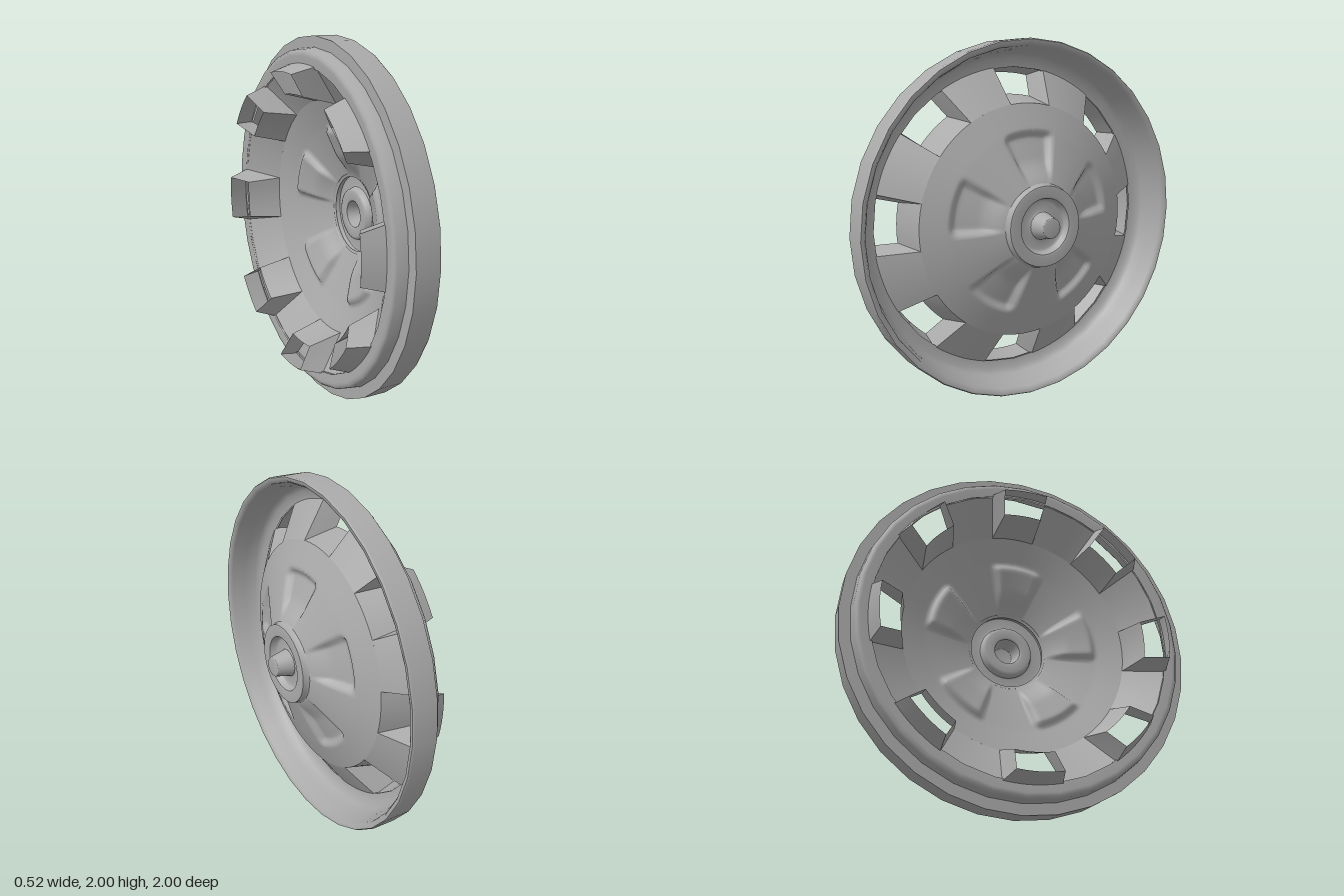
import * as THREE from 'three';

const metal = new THREE.MeshStandardMaterial({ color: 0xaaaaaa, side: THREE.DoubleSide });
metal.name = 'grey metal';

const rad = THREE.MathUtils.degToRad;
const lerp = THREE.MathUtils.lerp;
const smooth = THREE.MathUtils.smoothstep;

// Open sheet from a rule (u, v) -> [radius, angle in degrees from the top, x]
function sheet(rule, nu, nv) {
  const pos = [], index = [];
  for (let j = 0; j <= nv; j++) {
    for (let i = 0; i <= nu; i++) {
      const [r, a, x] = rule(i / nu, j / nv);
      pos.push(x, r * Math.cos(rad(a)), r * Math.sin(rad(a)));
      if (i < nu && j < nv) {
        const p = j * (nu + 1) + i, q = p + nu + 1;
        index.push(p, p + 1, q, p + 1, q + 1, q);
      }
    }
  }
  const g = new THREE.BufferGeometry();
  g.setAttribute('position', new THREE.Float32BufferAttribute(pos, 3));
  g.setIndex(index);
  g.computeVertexNormals();
  return g;
}

// Ring turned about the x axis from [radius, x] pairs
function turned(points, sides = 32) {
  const g = new THREE.LatheGeometry(points.map(p => new THREE.Vector2(...p)), sides);
  return g.rotateZ(-Math.PI / 2);
}

function add(parent, name, geometry) {
  const mesh = new THREE.Mesh(geometry, metal);
  mesh.name = name;
  parent.add(mesh);
  return mesh;
}

// Conical dome with five pressed sector panels
function domeRule(u, v) {
  const r = lerp(0.215, 0.655, v), a = u * 360;
  let x = r < 0.51 ? lerp(0.168, 0.06, (r - 0.215) / 0.295) : lerp(0.06, 0, (r - 0.51) / 0.145);
  const off = Math.abs(((a - 3 + 36 + 360) % 72) - 36);
  const across = 1 - smooth(off, 14, 19);
  const along = smooth(r, 0.22, 0.36) * (1 - smooth(r, 0.47, 0.515));
  return [r, a, x - 0.035 * across * along];
}

export function createModel() {
  const model = new THREE.Group();
  model.name = 'wheelCover';
  const cover = new THREE.Group();
  cover.name = 'cover';
  cover.position.y = 1;
  model.add(cover);

  add(cover, 'dome', sheet(domeRule, 180, 30));

  // Outer rim: band, step, rounded shoulder and inner wall
  const rim = new THREE.Group();
  rim.name = 'rim';
  cover.add(rim);
  add(rim, 'rimBand', turned([[1, -0.08], [1, 0.05], [0.994, 0.06]]));
  add(rim, 'rimStep', turned([[0.94, -0.08], [1, -0.08]]));
  add(rim, 'rimShoulder', turned([[0.85, -0.145], [0.9, -0.15], [0.92, -0.148], [0.932, -0.135], [0.94, -0.08]]));
  add(rim, 'rimInnerWall', turned([[0.994, 0.06], [0.975, 0.058], [0.962, 0.04], [0.945, -0.04],
    [0.925, -0.1], [0.9, -0.128], [0.85, -0.135]]));

  // Eight vents with flared walls, and the sloping panels between them
  const H = 11, T = 9;
  const mouthIn = [0.655, 0], mouthOut = [0.86, -0.14];
  const throatIn = [0.7, -0.19], throatOut = [0.82, -0.262];
  const mix = (p, q, t) => [lerp(p[0], q[0], t), lerp(p[1], q[1], t)];
  const panel = sheet((u, v) => {
    const [r, x] = mix(mouthIn, mouthOut, v);
    return [r, lerp(H, 45 - H, u), x];
  }, 10, 6);
  const endWall = (mouth, throat) => sheet((u, v) => {
    const [r, x] = mix(mouth, throat, v);
    return [r, lerp(-1, 1, u) * lerp(H, T, v), x];
  }, 6, 3);
  const sideWall = s => sheet((u, v) => {
    const [r, x] = mix(mix(mouthIn, mouthOut, u), mix(throatIn, throatOut, u), v);
    return [r, s * lerp(H, T, v), x];
  }, 4, 3);
  const walls = {
    ventInnerWall: endWall(mouthIn, throatIn),
    ventOuterWall: endWall(mouthOut, throatOut),
    ventLeftWall: sideWall(1),
    ventRightWall: sideWall(-1),
    slopingPanel: panel,
  };
  for (let i = 0; i < 8; i++) {
    const vent = new THREE.Group();
    vent.name = 'vent' + (i + 1);
    vent.rotation.x = rad(-2.5 + 45 * i);
    for (const [name, geometry] of Object.entries(walls)) add(vent, name, geometry);
    cover.add(vent);
  }

  // Raised hub with a recessed ring and a tapered centre peg
  const hub = new THREE.Group();
  hub.name = 'hub';
  cover.add(hub);
  add(hub, 'hubEdge', turned([[0.235, 0.158], [0.225, 0.17], [0.222, 0.197]], 40));
  add(hub, 'hubFace', turned([[0.222, 0.197], [0.215, 0.2], [0.165, 0.2], [0.155, 0.196]], 40));
  add(hub, 'hubRecess', turned([[0.155, 0.196], [0.145, 0.165], [0.13, 0.158], [0.085, 0.158], [0.076, 0.165]], 40));
  add(hub, 'pegSide', turned([[0.076, 0.165], [0.068, 0.2], [0.056, 0.255]], 24));
  add(hub, 'pegTop', turned([[0.056, 0.255], [0.05, 0.262], [0, 0.262]], 24));

  return model;
}
